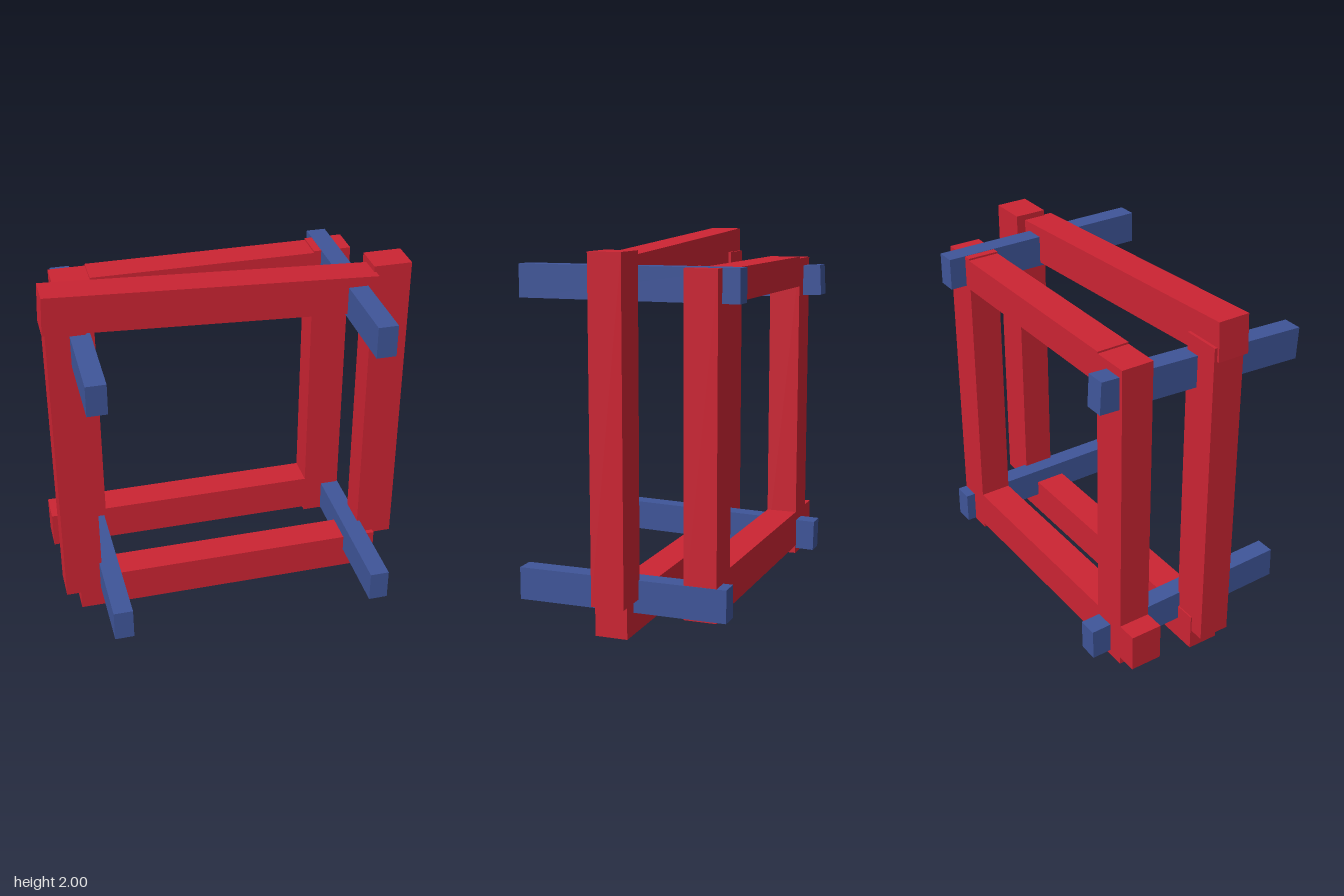
import * as THREE from 'three';

export function createModel() {
  const group = new THREE.Group();
  const red = new THREE.MeshStandardMaterial({ color: 0xcc2433 });
  const blue = new THREE.MeshStandardMaterial({ color: 0x3f5599 });

  // A plain timber given by its centre, size and small tilt
  function beam(name, material, [x, y, z], size, rotX = 0, rotZ = 0) {
    const mesh = new THREE.Mesh(new THREE.BoxGeometry(...size), material);
    mesh.name = name;
    mesh.position.set(x, y, z);
    mesh.rotation.set(rotX, 0, rotZ);
    group.add(mesh);
  }

  const W = 0.207, D = 0.175, L = 1.75; // frame timber width, depth, length

  // Front frame, loosely knocked together
  beam('frontTopBeam', red, [-0.1, 1.85, 0.063], [L, W, D], 0, -0.052);
  beam('frontBottomBeam', red, [-0.008, 0.104, 0.04], [L, W, D]);
  beam('frontLeftPost', red, [0.872, 1.065, 0.012], [W, L, D]);
  beam('frontRightPost', red, [-0.86, 0.99, 0.047], [W, L, D]);

  // Back frame
  const backZ = -0.403;
  beam('backTopBeam', red, [-0.043, 1.765, backZ], [1.235, 0.17, D]);
  beam('backBottomBeam', red, [-0.096, 0.238, backZ], [L, W, D]);
  beam('backLeftPost', red, [0.678, 0.985, backZ], [W, L, D]);
  beam('backRightPost', red, [-0.757, 0.965, backZ], [W, L, D]);

  // Four rails running front to back through the corners
  const w = 0.105, h = 0.172;
  beam('topLeftRail', blue, [0.668, 1.775, 0.008], [w, h, 1.18]);
  beam('topRightRail', blue, [-0.787, 1.685, 0], [w, h, 1.19], 0.05);
  beam('bottomLeftRail', blue, [0.732, 0.203, 0.025], [w, h, 1.135]);
  beam('bottomRightRail', blue, [-0.717, 0.217, 0], [w, h, 1.195], -0.026);

  return group;
}
